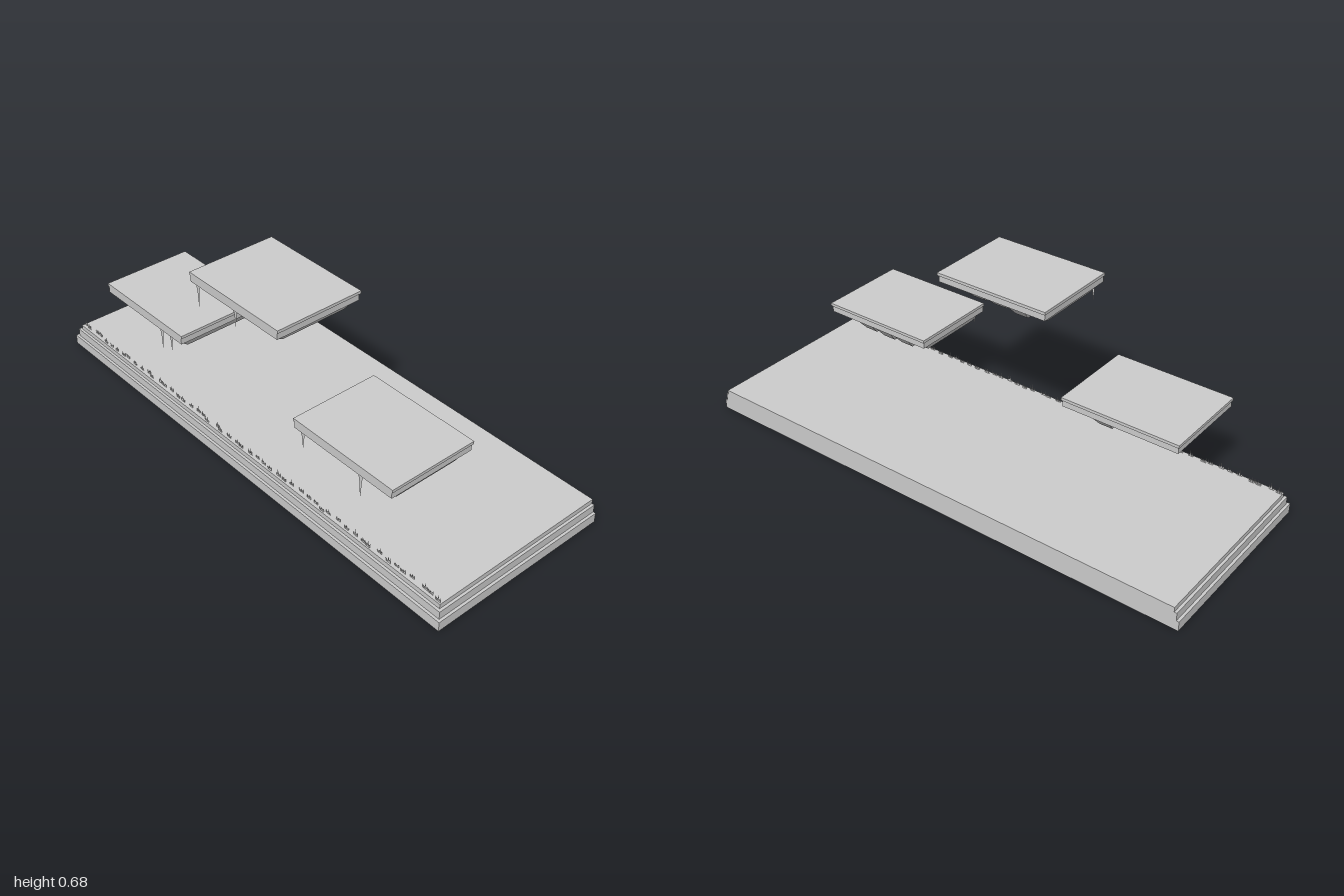
import * as THREE from 'three';

const grey = new THREE.MeshStandardMaterial({ color: 0xcccccc, flatShading: true });
const thin = new THREE.MeshStandardMaterial({ color: 0xcccccc, side: THREE.DoubleSide });

function add(parent, name, geometry, material = grey) {
  const mesh = new THREE.Mesh(geometry, material);
  mesh.name = name;
  parent.add(mesh);
  return mesh;
}

// Box given by its limits on each axis
function block(parent, name, x0, x1, y0, y1, z0, z1) {
  const g = new THREE.BoxGeometry(x1 - x0, y1 - y0, z1 - z0);
  g.translate((x0 + x1) / 2, (y0 + y1) / 2, (z0 + z1) / 2);
  return add(parent, name, g);
}

// Repeatable number between 0 and 1
function seeded(seed) {
  return () => (seed = (seed * 16807) % 2147483647) / 2147483647;
}

// Rib under a platform: a box whose lower face shrinks in width and length
function rib(parent, x, top, depth) {
  const g = new THREE.BoxGeometry(1, 1, 1);
  const p = g.attributes.position;
  const back = 0.03 + depth * 0.45, front = 0.31 - depth * 0.4;
  for (let i = 0; i < p.count; i++) {
    const low = p.getY(i) < 0;
    const halfWidth = low ? 0.026 : 0.041;
    const z = p.getZ(i) > 0 ? (low ? front : 0.335) : (low ? back : 0.005);
    p.setXYZ(i, x + Math.sign(p.getX(i)) * halfWidth, low ? top - depth : top, z);
  }
  g.computeVertexNormals();
  add(parent, 'rib', g);
}

// Flat hanging root, slightly bent, narrowing to a point
function root(parent, x, top, tip) {
  const h = top - tip;
  const s = new THREE.Shape();
  s.moveTo(x - 0.011, top);
  s.lineTo(x + 0.011, top);
  s.quadraticCurveTo(x + 0.004, top - h * 0.35, x + 0.004, top - h * 0.6);
  s.lineTo(x, tip);
  s.lineTo(x - 0.003, top - h * 0.6);
  s.quadraticCurveTo(x - 0.003, top - h * 0.3, x - 0.011, top);
  add(parent, 'hangingRoot', new THREE.ShapeGeometry(s, 4), thin).position.z = 0.337;
}

// Floating platform: thin cap, slab, five ribs and two roots
function platform(name, x, top, depths, roots) {
  const g = new THREE.Group();
  g.name = name;
  g.position.set(x, top, 0);
  block(g, 'platformCap', -0.228, 0.228, -0.011, 0, -0.01, 0.341);
  block(g, 'platformSlab', -0.224, 0.224, -0.036, -0.011, -0.005, 0.34);
  depths.forEach((d, i) => rib(g, (i - 2) * 0.088, -0.036, d));
  roots.forEach(([rx, tip]) => root(g, rx, -0.036, tip));
  return g;
}

// Row of flat grass tufts along the front edge
function grassRow() {
  const g = new THREE.Group();
  g.name = 'grassRow';
  const rnd = seeded(71);
  const count = 52;
  for (let i = 0; i < count; i++) {
    const x = -0.97 + (1.94 * (i + 0.6 * (rnd() - 0.5))) / (count - 1);
    const shapes = [];
    for (let b = -1; b <= 1; b++) {
      const bx = b * 0.006, lean = b * 0.004 + (rnd() - 0.5) * 0.006;
      const h = 0.01 + rnd() * (b === 0 ? 0.02 : 0.012);
      const s = new THREE.Shape();
      s.moveTo(bx - 0.004, 0);
      s.lineTo(bx + 0.004, 0);
      s.lineTo(bx + lean, h);
      shapes.push(s);
    }
    const z = 0.332 + rnd() * 0.01;
    add(g, 'grassTuft', new THREE.ShapeGeometry(shapes), thin).position.set(
      THREE.MathUtils.clamp(x, -0.967, 0.967), 0.085, z);
  }
  return g;
}

export function createModel() {
  const model = new THREE.Group();
  model.name = 'floatingPlatformStage';

  // Stepped ground, flush at the back
  block(model, 'groundBase', -1, 1, 0, 0.037, -0.366, 0.367);
  block(model, 'groundMiddle', -0.99, 0.99, 0.037, 0.067, -0.366, 0.357);
  block(model, 'groundTop', -0.98, 0.98, 0.067, 0.085, -0.366, 0.347);
  model.add(grassRow());

  // Three platforms: rib depths, then root positions and tips
  model.add(
    platform('upperPlatform', 0, 0.682, [0.027, 0.053, 0.043, 0.043, 0.027],
      [[-0.188, -0.12], [0.01, -0.1]]),
    platform('rightPlatform', -0.53, 0.383, [0.031, 0.041, 0.041, 0.057, 0.031],
      [[0.103, -0.125], [0.16, -0.105]]),
    platform('leftPlatform', 0.527, 0.383, [0.031, 0.06, 0.064, 0.06, 0.031],
      [[-0.185, -0.1], [0.085, -0.128]]),
  );
  return model;
}
